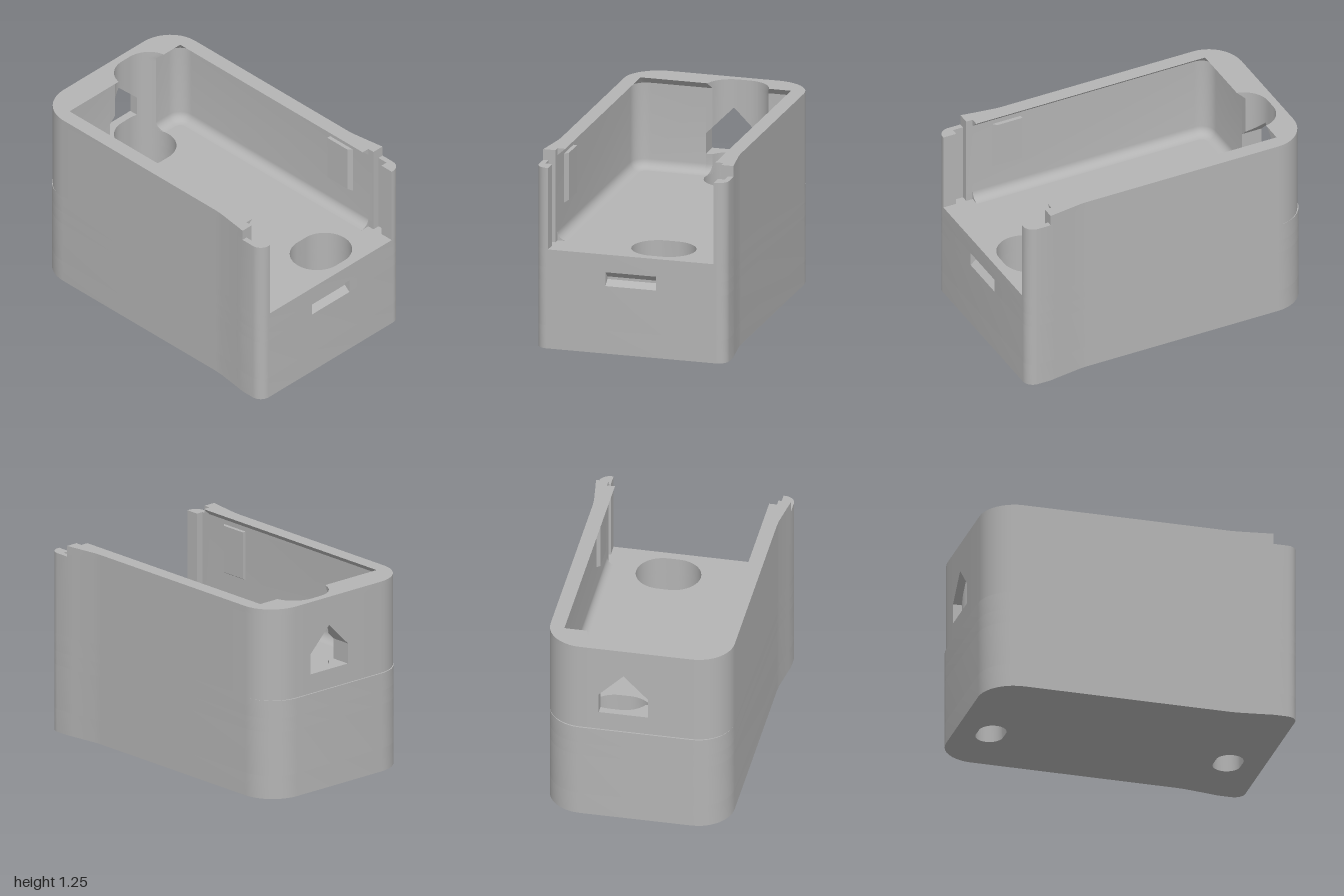
import * as THREE from 'three';
import { mergeGeometries, toCreasedNormals } from 'three/addons/utils/BufferGeometryUtils.js';

const FLOOR = 0.645, RIM = 1.245, PILLAR = 1.175;
const COL = { x: -0.77, z: -0.145, r: 0.17, flat: 0.035 }; // screw access column
const GAP = { hi: 0.08, mid: -0.0775, lo: -0.235 };        // wall opening along z
const OPEN_E = { e: -0.855, w: 0.54, r: 0.1 };             // cavity: end x, half width, corner radius

const arc = (cx, cz, rx, rz, a0, a1, n = 10) => Array.from({ length: n + 1 }, (_, i) => {
  const a = a0 + (a1 - a0) * i / n;
  return [cx + rx * Math.cos(a), cz + rz * Math.sin(a)];
});

// Outer outline of the +z half, from the open end to the closed end
function halfOutline(leftX, clipped) {
  return [
    ...(clipped ? [] : arc(0.93, 0.55, 0.07, 0.07, 0, Math.PI / 2)),
    [0.84, 0.62], [0.79, 0.612], [0.62, 0.588], [0.57, 0.585],
    ...arc(-0.77, 0.355, -0.77 - leftX, 0.23, Math.PI / 2, Math.PI),
  ];
}

// Closed surface through contours of equal length; each level is [y or y(x, z), contour]
function loft(levels, capBottom = true, capTop = true) {
  const pos = [];
  const flip = THREE.ShapeUtils.area(levels[0][1].map(p => new THREE.Vector2(...p))) < 0;
  const rings = levels.map(([y, c]) => {
    const ring = c.map(([x, z]) => [x, typeof y === 'function' ? y(x, z) : y, z]);
    return flip ? ring.reverse() : ring;
  });
  for (let k = 0; k + 1 < rings.length; k++) {
    const lo = rings[k], hi = rings[k + 1];
    lo.forEach((a, i) => {
      const j = (i + 1) % lo.length;
      pos.push(...a, ...hi[i], ...lo[j], ...lo[j], ...hi[i], ...hi[j]);
    });
  }
  const cap = (ring, up) => {
    const pts = ring.map(p => new THREE.Vector2(p[0], p[2]));
    for (const [a, b, c] of THREE.ShapeUtils.triangulateShape(pts, [])) {
      pos.push(...ring[a], ...ring[up ? c : b], ...ring[up ? b : c]);
    }
  };
  if (capBottom) cap(rings[0], false);
  if (capTop) cap(rings[rings.length - 1], true);
  const g = new THREE.BufferGeometry();
  g.setAttribute('position', new THREE.Float32BufferAttribute(pos, 3));
  return g;
}

// Inner face of the closed end, hollowed by the column
const columnHalf = e => COL.flat + Math.sqrt(COL.r ** 2 - (e - COL.x) ** 2);
function innerPoint(z, e) {
  const d = Math.max(Math.abs(z - COL.z) - COL.flat, 0);
  return [d < COL.r ? Math.min(e, COL.x - Math.sqrt(COL.r ** 2 - d * d)) : e, z];
}
const innerRun = (z0, z1, e, n = 9) =>
  Array.from({ length: n + 1 }, (_, i) => innerPoint(z0 + (z1 - z0) * i / n, e));

// Plan of one side wall with its end pillar
function wallPlan(side, { e, w, r }, clipped) {
  const start = side > 0 ? [[e, GAP.hi]] : innerRun(GAP.lo, COL.z - columnHalf(e), e);
  const rest = [
    ...arc(e + r, w - r, r, r, Math.PI, Math.PI / 2, 8),
    [0.795, w], [0.795, 0.54], [0.84, 0.54],
    ...(clipped ? [] : [[0.84, 0.585], [0.91, 0.585], [0.91, 0.54], [1, 0.54]]),
    ...halfOutline(-0.99, clipped),
  ].map(([x, z]) => [x, z * side]);
  return [...start, ...rest, [-0.99, side > 0 ? GAP.hi : GAP.lo]];
}

// Plan of the end wall pieces above and below the opening
function endPlan(half, { e }) {
  if (half === 0) {
    const edge = COL.z + columnHalf(e);
    return [[-0.99, GAP.hi], [e, GAP.hi], ...innerRun(edge, GAP.mid, e), [-0.99, GAP.mid]];
  }
  return [[-0.99, GAP.mid], ...innerRun(GAP.mid, GAP.lo, e), [-0.99, GAP.lo]];
}

// Rounded slot path, centred on the screw line
function slot(cx, r) {
  const p = new THREE.Path(), cy = -COL.z;
  p.absarc(cx, cy + COL.flat, r, 0, Math.PI, false);
  p.absarc(cx, cy - COL.flat, r, Math.PI, Math.PI * 2, false);
  p.closePath();
  return p;
}

// Slab of the solid base with two holes and an optional notch in the open end
function baseSlab(y0, y1, holeR, notched) {
  const half = halfOutline(-1, false);
  const pts = [...half, ...half.map(([x, z]) => [x, -z]).reverse()];
  if (notched) pts.push([1, -0.165], [0.96, -0.165], [0.96, 0.165], [1, 0.165]);
  const shape = new THREE.Shape(pts.map(p => new THREE.Vector2(...p)));
  shape.holes.push(slot(-0.77, holeR), slot(0.77, holeR));
  const g = new THREE.ExtrudeGeometry(shape, { depth: y1 - y0, bevelEnabled: false, curveSegments: 20 });
  return g.rotateX(-Math.PI / 2).translate(0, y0, 0);
}

export function createModel() {
  const group = new THREE.Group();
  const grey = new THREE.MeshStandardMaterial({ color: 0xb4b4b4 });
  grey.name = 'light grey';
  const add = (name, geos) => {
    const plain = geos.map(g => {
      const n = g.index ? g.toNonIndexed() : g;
      n.deleteAttribute('uv');
      n.deleteAttribute('normal');
      return n;
    });
    const mesh = new THREE.Mesh(toCreasedNormals(mergeGeometries(plain), 0.5), grey);
    mesh.name = name;
    group.add(mesh);
  };

  // Base: narrow slots below, wide counterbores above
  add('baseFloor', [baseSlab(0, 0.15, 0.0875)]);
  add('baseLower', [baseSlab(0.15, 0.44, COL.r)]);
  add('baseNotchBand', [baseSlab(0.44, 0.53, COL.r, true)]);
  add('baseUpper', [baseSlab(0.53, FLOOR, COL.r)]);

  // Sloped faces inside the latch notch
  for (const [name, tri] of [
    ['latchNotchTop', [[1, 0.53], [0.96, 0.53], [0.96, 0.492]]],
    ['latchNotchBottom', [[1, 0.44], [0.96, 0.475], [0.96, 0.44]]],
  ]) {
    const s = new THREE.Shape(tri.map(p => new THREE.Vector2(...p)));
    add(name, [new THREE.ExtrudeGeometry(s, { depth: 0.33, bevelEnabled: false }).translate(0, 0, -0.165)]);
  }

  // Cavity sections: floor fillet, straight wall, overhanging lip
  const fillet = Array.from({ length: 7 }, (_, i) => {
    const t = i / 6 * Math.PI / 2, d = 0.06 * (1 - Math.sin(t));
    return [FLOOR + 0.06 * (1 - Math.cos(t)), { e: -0.855 + d, w: 0.54 - d, r: 0.1 - d }];
  });
  const lip = [[1.2, OPEN_E], [RIM, { e: -0.805, w: 0.49, r: 0.004 }]];

  // Side walls with grooved end pillars
  for (const side of [1, -1]) {
    const lower = [...fillet, [PILLAR, OPEN_E]].map(([y, c]) => [y, wallPlan(side, c, false)]);
    const upper = [[PILLAR, OPEN_E], ...lip].map(([y, c]) => [y, wallPlan(side, c, true)]);
    add(side > 0 ? 'frontWall' : 'backWall', [loft(lower, false, true), loft(upper, false, true)]);
  }

  // End wall around the gabled opening
  const roof = (x, z) => 1.06 - Math.abs(z - GAP.mid);
  const sill = [], gable = [];
  for (const half of [0, 1]) {
    sill.push(loft([...fillet, [0.77, OPEN_E]].map(([y, c]) => [y, endPlan(half, c)]), false, true));
    gable.push(loft([[roof, OPEN_E], [1.06, OPEN_E], ...lip].map(([y, c]) => [y, endPlan(half, c)])));
  }
  add('endWallSill', sill);
  add('endWallGable', gable);

  // Raised pads on the inner side walls
  for (const side of [1, -1]) {
    const plan = [[0.46, 0.515], [0.635, 0.515], [0.66, 0.541], [0.46, 0.541]].map(([x, z]) => [x, z * side]);
    const under = (x, z) => (Math.abs(z) < 0.53 ? 0.865 : 0.85);
    add(side > 0 ? 'frontPad' : 'backPad', [loft([[under, plan], [1.17, plan]])]);
  }
  return group;
}
